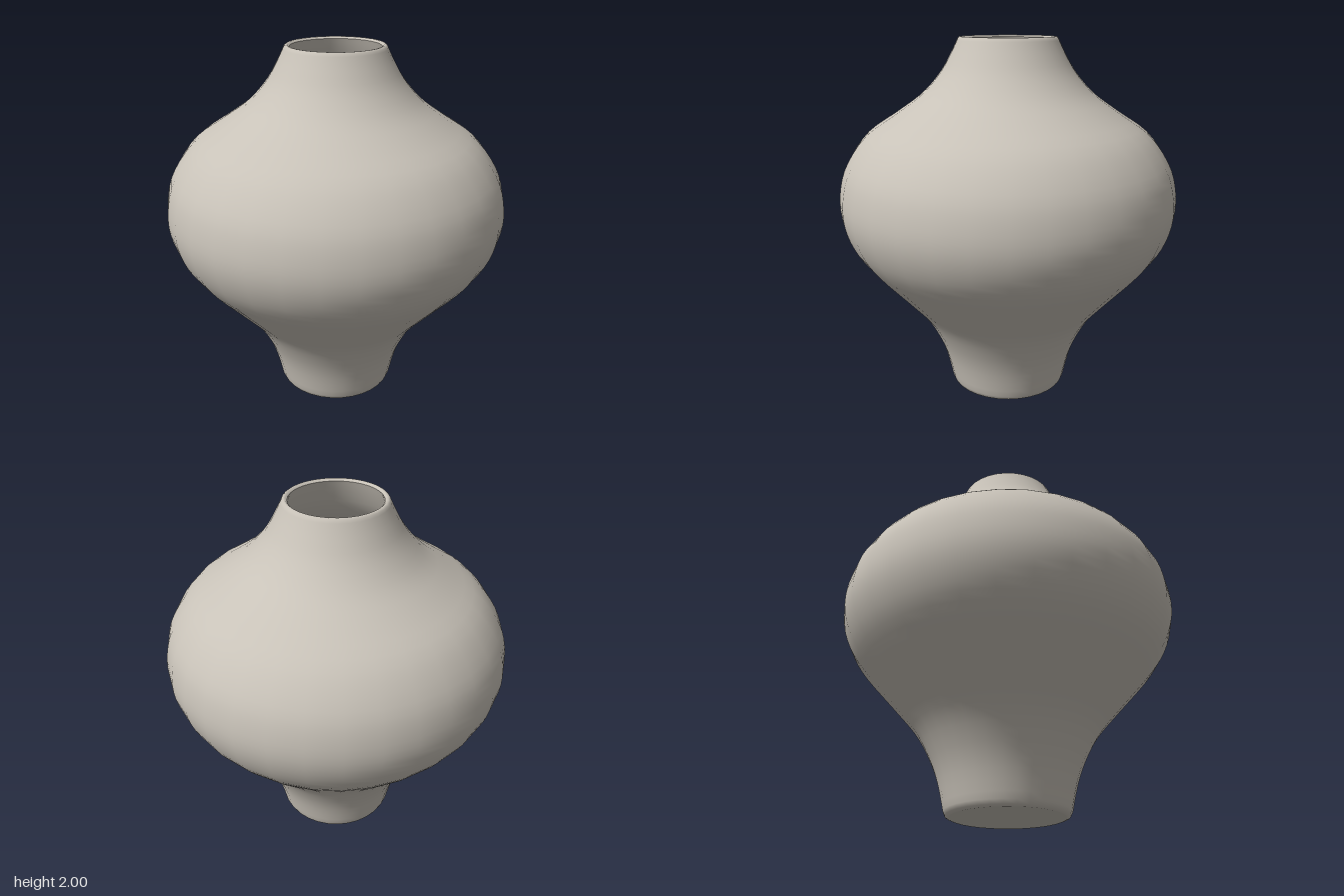
import * as THREE from 'three';

const SIDES = 32;

// Smooth curve through [radius, height] points
function smoothProfile(points, steps) {
  return new THREE.SplineCurve(points.map(([r, y]) => new THREE.Vector2(r, y))).getPoints(steps);
}

export function createModel() {
  const vase = new THREE.Group();
  vase.name = 'vase';
  const clay = new THREE.MeshStandardMaterial({ color: 0xc8c2b8 });
  clay.name = 'warm grey clay';

  const add = (name, geometry) => {
    const mesh = new THREE.Mesh(geometry, clay);
    mesh.name = name;
    vase.add(mesh);
    return mesh;
  };

  // Outer body: narrow foot, full belly, slim neck
  const outer = [
    [0.335, 0.03], [0.37, 0.18], [0.42, 0.31], [0.5, 0.45], [0.63, 0.6], [0.8, 0.79],
    [0.885, 0.92], [0.928, 1.06], [0.924, 1.2], [0.88, 1.34], [0.77, 1.49], [0.61, 1.6],
    [0.47, 1.7], [0.37, 1.81], [0.31, 1.91], [0.275, 1.98],
  ];
  const foot = [[0.305, 0], [0.325, 0.008]].map(([r, y]) => new THREE.Vector2(r, y));
  const lip = [[0.269, 1.993], [0.26, 2], [0.25, 1.999], [0.241, 1.99]]
    .map(([r, y]) => new THREE.Vector2(r, y));
  add('body', new THREE.LatheGeometry([...foot, ...smoothProfile(outer, 48), ...lip], SIDES));

  // Hollow inside, following the body at wall thickness
  const inner = [
    [0.241, 1.99], [0.275, 1.91], [0.335, 1.8], [0.44, 1.68], [0.58, 1.575], [0.74, 1.46],
    [0.845, 1.33], [0.89, 1.2], [0.893, 1.07], [0.85, 0.93], [0.77, 0.81], [0.6, 0.62],
    [0.47, 0.47], [0.385, 0.31], [0.335, 0.18], [0.3, 0.04],
  ];
  add('innerWall', new THREE.LatheGeometry(smoothProfile(inner, 40), SIDES));

  // Flat floor inside and flat base underneath, aligned with the lathe corners
  const floor = add('innerFloor', new THREE.CircleGeometry(0.3, SIDES));
  floor.rotation.x = -Math.PI / 2;
  floor.position.y = 0.04;
  const base = add('base', new THREE.CircleGeometry(0.305, SIDES));
  base.rotation.x = Math.PI / 2;

  return vase;
}
